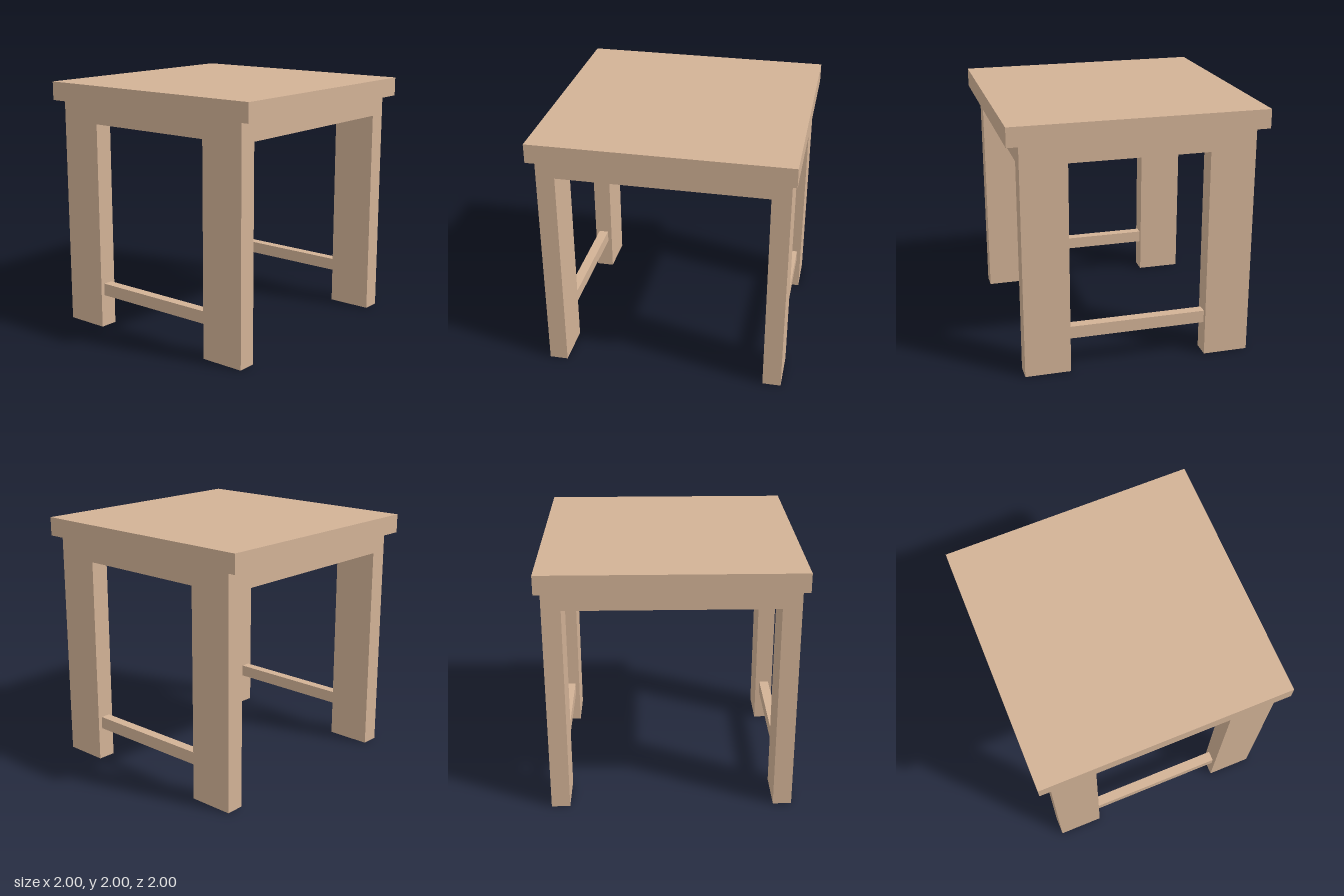
import * as THREE from 'three';

export function createModel() {
  const group = new THREE.Group();
  const wood = new THREE.MeshStandardMaterial({ color: 0xd2b296 });

  // Box spanning y0..y1, centred on (x, z)
  function block(name, width, depth, y0, y1, x = 0, z = 0) {
    const mesh = new THREE.Mesh(new THREE.BoxGeometry(width, y1 - y0, depth), wood);
    mesh.name = name;
    mesh.position.set(x, (y0 + y1) / 2, z);
    group.add(mesh);
  }

  const apronBottom = 1.69, apronTop = 1.85;
  const halfX = 0.96, halfZ = 0.907;    // outer faces of the base
  const legW = 0.147, legD = 0.36;
  const legX = halfX - legW / 2, legZ = halfZ - legD / 2;

  // Overhanging slab and the solid apron below it
  block('tableTop', 2, 2, apronTop, 2);
  block('apron', halfX * 2, halfZ * 2, apronBottom, apronTop);

  for (const [side, sx] of [['left', 1], ['right', -1]]) {
    // Legs, flush with the apron
    block(side + 'FrontLeg', legW, legD, 0, apronBottom, sx * legX, legZ);
    block(side + 'BackLeg', legW, legD, 0, apronBottom, sx * legX, -legZ);
    // Low rail joining front and back legs
    block(side + 'Stretcher', 0.08, (halfZ - legD) * 2, 0.265, 0.365, sx * legX);
  }
  return group;
}
